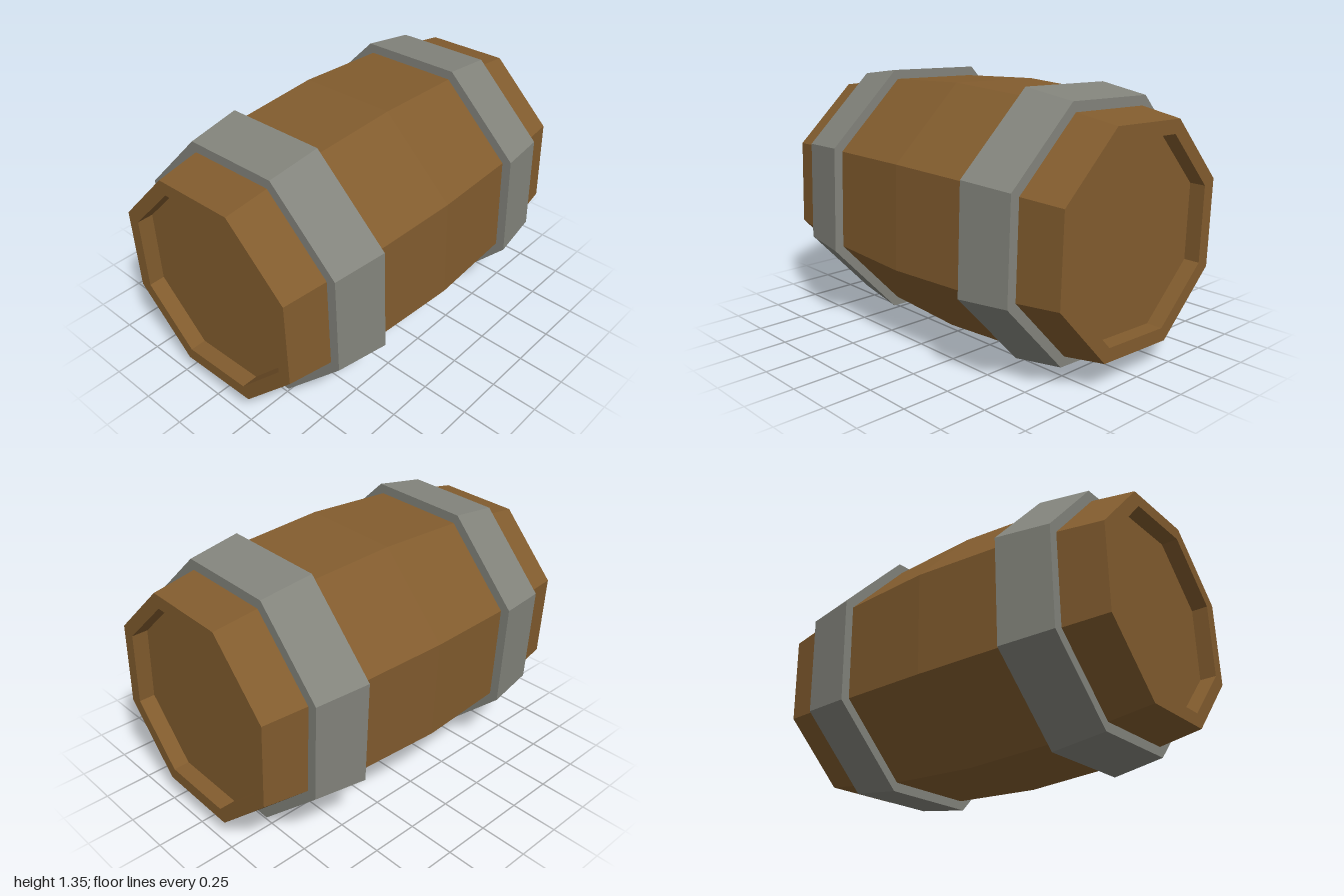
import * as THREE from 'three';

const SIDES = 8;
const TURN = 0.356; // slight roll of the octagon about the barrel axis
const AXIS_Y = 0.676;

// Faceted ring profile of [radius, x] pairs, turned about the x axis
function turned(name, profile, material) {
  const points = profile.map(([r, x]) => new THREE.Vector2(r, x));
  const geometry = new THREE.LatheGeometry(points, SIDES, TURN, Math.PI * 2).toNonIndexed();
  geometry.rotateZ(-Math.PI / 2);
  geometry.computeVertexNormals();
  const mesh = new THREE.Mesh(geometry, material);
  mesh.name = name;
  mesh.position.y = AXIS_Y;
  return mesh;
}

const mirrored = (profile) => profile.map(([r, x]) => [r, -x]).reverse();

export function createModel() {
  const wood = new THREE.MeshStandardMaterial({ color: 0x825c2e });
  wood.name = 'brown wood';
  const iron = new THREE.MeshStandardMaterial({ color: 0x83847c });
  iron.name = 'grey iron';

  const barrel = new THREE.Group();
  barrel.name = 'barrel';

  // Bulging body with a raised rim and a recessed lid at each end
  const half = [[0.666, 0.5], [0.585, 1], [0.51, 1], [0.51, 0.915], [0, 0.915]];
  barrel.add(turned('body', [...mirrored(half), [0.692, 0], ...half], wood));

  // Tapered hoops, wider towards the middle
  const hoop = [[0.62, 0.49], [0.719, 0.49], [0.676, 0.77], [0.58, 0.77]];
  barrel.add(turned('leftHoop', hoop, iron));
  barrel.add(turned('rightHoop', mirrored(hoop), iron));

  return barrel;
}
